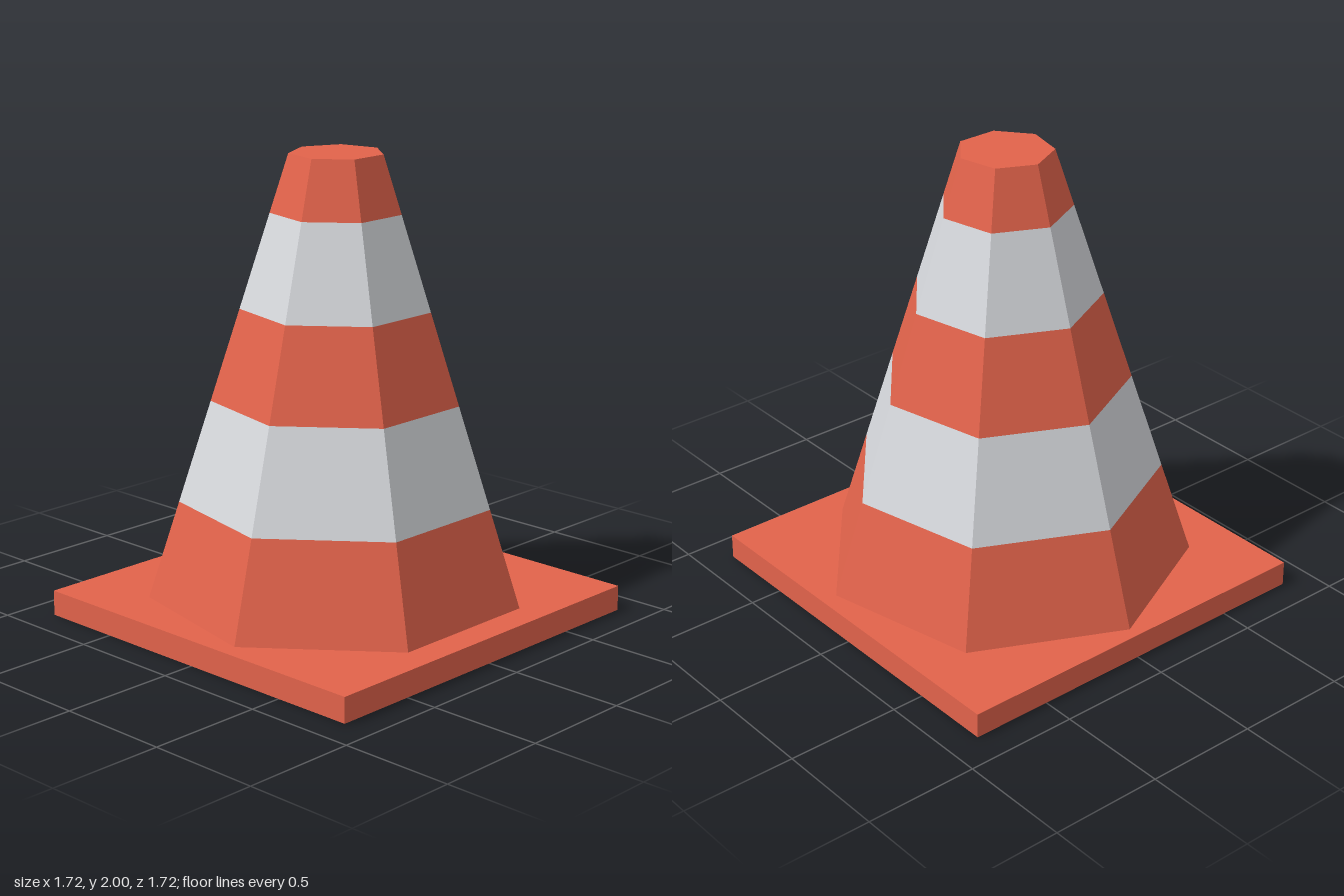
import * as THREE from 'three';

const orange = new THREE.MeshStandardMaterial({ color: 0xe2634b });
orange.name = 'orange';
const paleGrey = new THREE.MeshStandardMaterial({ color: 0xd7d9dd });
paleGrey.name = 'pale grey';

const SIDES = 7;
const BASE_HEIGHT = 0.11, BASE_WIDTH = 1.715;
const TOP = 2, BOTTOM_RADIUS = 0.805, TOP_RADIUS = 0.2;

// Radius of the tapering body at height y
const radiusAt = (y) =>
  THREE.MathUtils.mapLinear(y, BASE_HEIGHT, TOP, BOTTOM_RADIUS, TOP_RADIUS);

// Faceted ring of the body between two heights, one corner pointing to the back
function bandGeometry(y0, y1) {
  const geometry = new THREE.CylinderGeometry(
    radiusAt(y1), radiusAt(y0), y1 - y0, SIDES, 1, true, Math.PI).toNonIndexed();
  geometry.translate(0, (y0 + y1) / 2, 0);
  geometry.computeVertexNormals();
  return geometry;
}

export function createModel() {
  const model = new THREE.Group();
  model.name = 'trafficCone';
  const add = (name, geometry, material) => {
    const mesh = new THREE.Mesh(geometry, material);
    mesh.name = name;
    model.add(mesh);
    return mesh;
  };

  // Square base plate
  add('basePlate', new THREE.BoxGeometry(BASE_WIDTH, BASE_HEIGHT, BASE_WIDTH), orange)
    .position.y = BASE_HEIGHT / 2;

  // Alternating bands from the plate to the tip
  const levels = [BASE_HEIGHT, 0.53, 0.965, 1.355, 1.755, TOP];
  for (let i = 0; i < levels.length - 1; i++) {
    const striped = i % 2 === 1;
    add(`${striped ? 'stripe' : 'body'}Band${i + 1}`,
      bandGeometry(levels[i], levels[i + 1]), striped ? paleGrey : orange);
  }

  // Flat cap, turned so that its corners meet the body's
  const cap = new THREE.CircleGeometry(TOP_RADIUS, SIDES, Math.PI / 2);
  cap.rotateX(-Math.PI / 2);
  add('topCap', cap, orange).position.y = TOP;

  return model;
}
